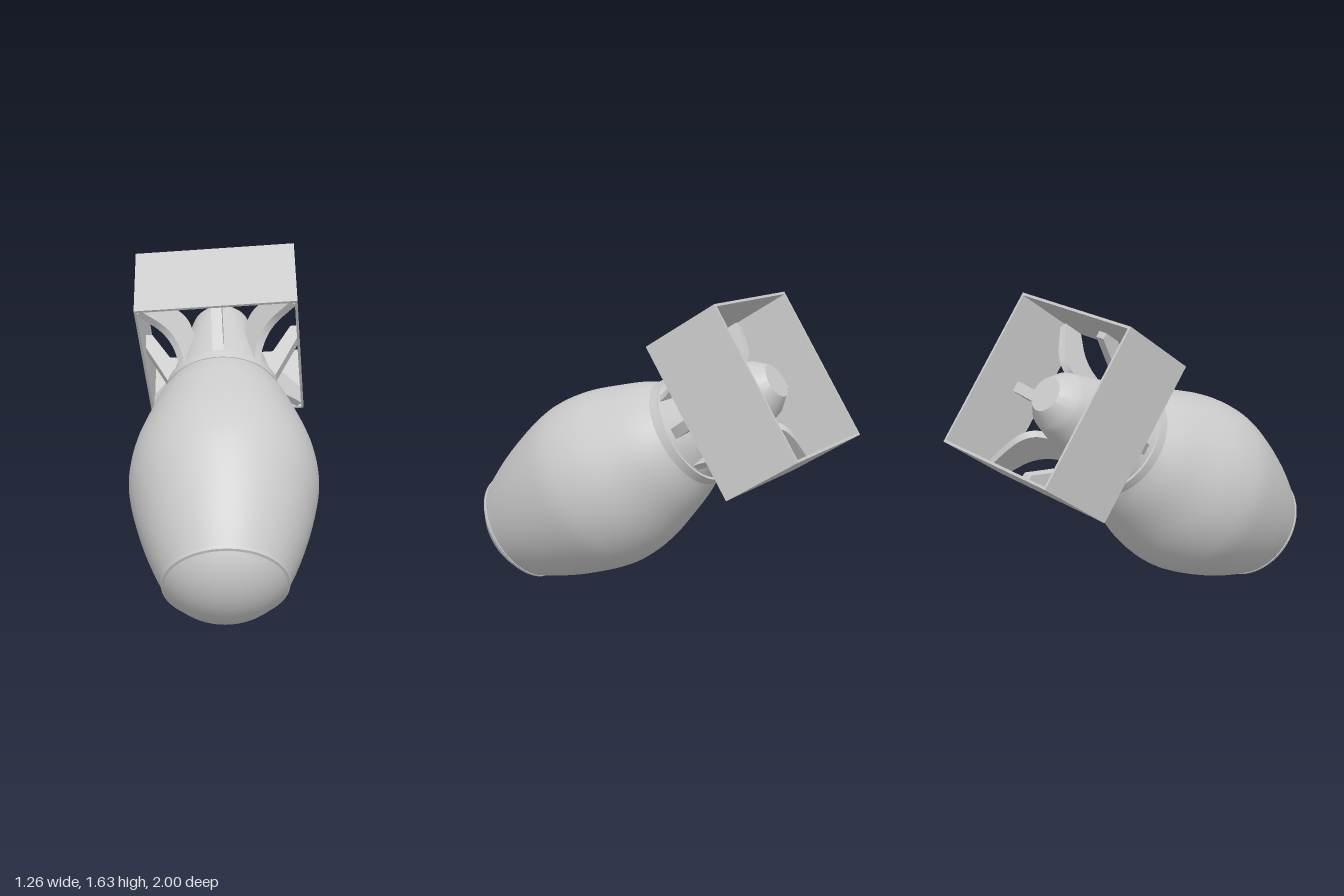
import * as THREE from 'three';
import { toCreasedNormals } from 'three/addons/utils/BufferGeometryUtils.js';

const material = new THREE.MeshStandardMaterial({ color: 0xcccccc, side: THREE.DoubleSide });

// Revolve a [position along axis, radius] profile about z (nose towards +z)
function revolve(name, profile, crease) {
  const points = profile.map(([t, r]) => new THREE.Vector2(r, t));
  let geo = new THREE.LatheGeometry(points, 64);
  geo.rotateX(Math.PI / 2);
  if (crease) geo = toCreasedNormals(geo, crease);
  const mesh = new THREE.Mesh(geo, material);
  mesh.name = name;
  return mesh;
}

// Flat plate drawn in (radius, axis) coordinates, centred on its thickness
function plate(shape, thickness) {
  const geo = new THREE.ExtrudeGeometry(shape, { depth: thickness, bevelEnabled: false, curveSegments: 12 });
  geo.translate(0, 0, -thickness / 2);
  geo.rotateX(Math.PI / 2);
  return toCreasedNormals(geo, 0.5);
}

function squarePath(PathType, half) {
  const p = new PathType();
  p.moveTo(-half, -half);
  p.lineTo(half, -half);
  p.lineTo(half, half);
  p.lineTo(-half, half);
  p.closePath();
  return p;
}

export function createModel() {
  const bomb = new THREE.Group();
  bomb.name = 'bomb';

  // Barrel-shaped body
  const bodyCurve = new THREE.SplineCurve([
    [0.22, 0.28], [0.33, 0.337], [0.46, 0.387], [0.61, 0.437], [0.74, 0.461],
    [0.86, 0.463], [1.0, 0.437], [1.15, 0.395], [1.28, 0.348], [1.4, 0.295],
  ].map(([t, r]) => new THREE.Vector2(t, r)));
  bomb.add(revolve('body', bodyCurve.getPoints(36).map((p) => [p.x, p.y])));

  // Nose rim and domed cap
  bomb.add(revolve('noseRim', [[1.385, 0.29], [1.39, 0.303], [1.405, 0.3], [1.41, 0.285]], 0.5));
  const dome = [];
  const R = 0.365, rise = 0.15, half = Math.asin(0.293 / R);
  for (let i = 0; i <= 14; i++) {
    const a = half * (1 - i / 14);
    dome.push([1.4 + rise - R + R * Math.cos(a), R * Math.sin(a)]);
  }
  bomb.add(revolve('noseCap', dome));

  // Tail collar and tapering tail cone
  bomb.add(revolve('tailCollar', [[0.19, 0.272], [0.19, 0.288], [0.235, 0.293], [0.24, 0.28]], 0.5));
  bomb.add(revolve('tailCone', [
    [-0.335, 0], [-0.335, 0.088], [-0.265, 0.145], [-0.235, 0.156], [0.2, 0.277],
  ], 0.4));

  // Square box shroud, open front and back
  const frame = squarePath(THREE.Shape, 0.415);
  frame.holes.push(squarePath(THREE.Path, 0.402));
  const shroudGeo = new THREE.ExtrudeGeometry(frame, { depth: 0.422, bevelEnabled: false });
  shroudGeo.translate(0, 0, -0.422);
  const shroud = new THREE.Mesh(shroudGeo, material);
  shroud.name = 'tailShroud';
  bomb.add(shroud);

  // Curved fin running to each shroud corner
  const fin = new THREE.Shape();
  fin.moveTo(0.2, 0.18);
  fin.lineTo(0.275, 0.18);
  fin.bezierCurveTo(0.29, 0.08, 0.34, 0.01, 0.44, 0.0);
  fin.lineTo(0.555, -0.005);
  fin.lineTo(0.555, -0.12);
  fin.bezierCurveTo(0.42, -0.15, 0.29, -0.2, 0.235, -0.12);
  fin.quadraticCurveTo(0.21, -0.07, 0.18, -0.02);
  fin.closePath();
  const finGeo = plate(fin, 0.04);

  // Straight strut sloping back to the middle of each shroud side
  const strut = new THREE.Shape();
  strut.moveTo(0.2, 0.17);
  strut.lineTo(0.265, 0.17);
  strut.lineTo(0.407, -0.12);
  strut.lineTo(0.407, -0.2);
  strut.lineTo(0.37, -0.2);
  strut.lineTo(0.2, 0.1);
  strut.closePath();
  const strutGeo = plate(strut, 0.055);

  for (let i = 0; i < 4; i++) {
    const cornerFin = new THREE.Mesh(finGeo, material);
    cornerFin.name = 'cornerFin' + (i + 1);
    cornerFin.rotation.z = Math.PI / 4 + (i * Math.PI) / 2;
    const sideStrut = new THREE.Mesh(strutGeo, material);
    sideStrut.name = 'sideStrut' + (i + 1);
    sideStrut.rotation.z = (i * Math.PI) / 2;
    bomb.add(cornerFin, sideStrut);
  }

  // Tilt nose-down, resting on the nose
  const forward = new THREE.Vector3(-0.246, -0.549, 0.8).normalize();
  const side = new THREE.Vector3().crossVectors(new THREE.Vector3(-0.244, 0.83, 0.501), forward).normalize();
  const up = new THREE.Vector3().crossVectors(forward, side);
  bomb.quaternion.setFromRotationMatrix(new THREE.Matrix4().makeBasis(side, up, forward));
  bomb.position.set(0.0325, 1.029, -0.31);

  const model = new THREE.Group();
  model.name = 'model';
  model.add(bomb);
  return model;
}
